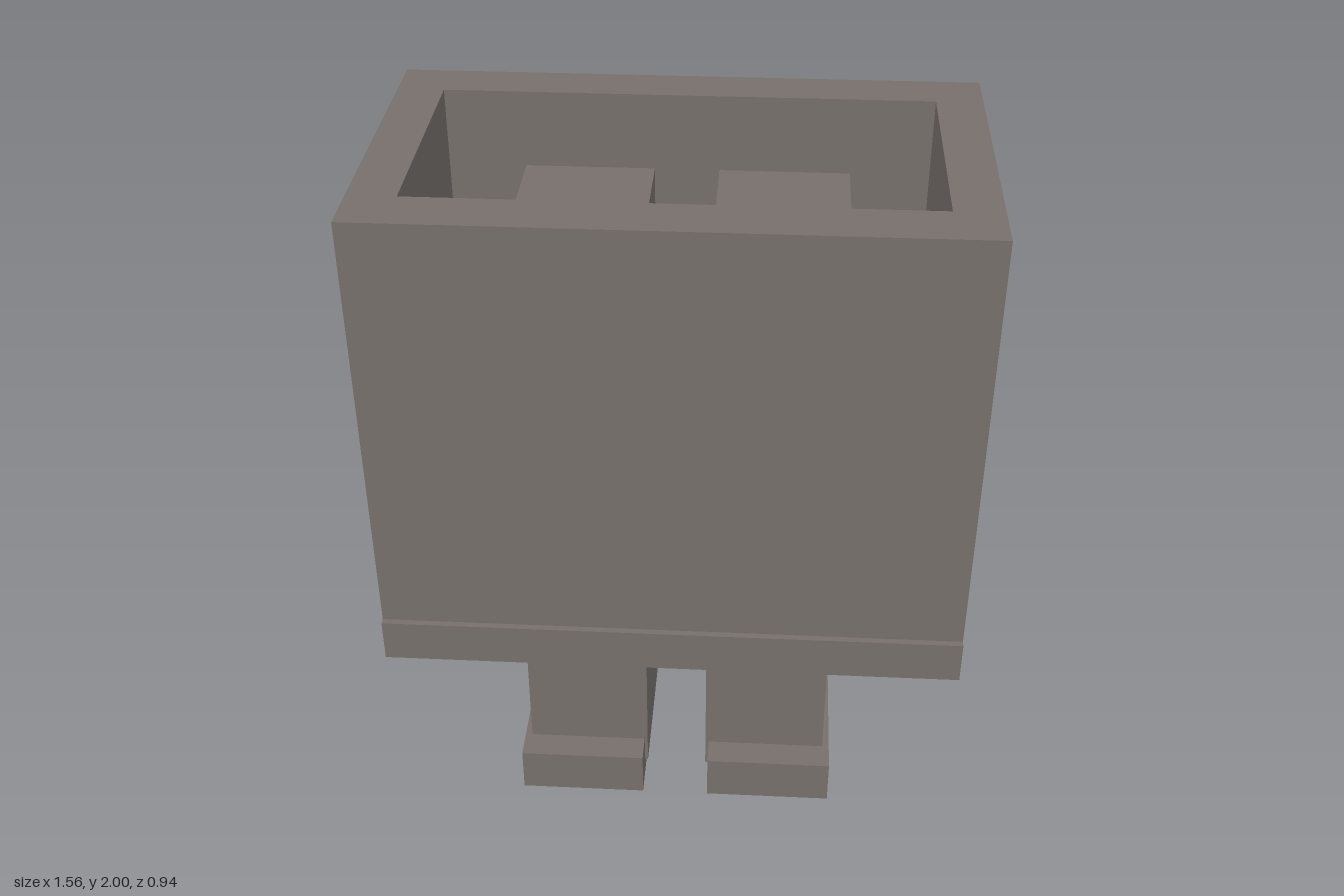
import * as THREE from 'three';

export function createModel() {
  const group = new THREE.Group();
  const stone = new THREE.MeshStandardMaterial({ color: 0x766f6b });
  stone.name = 'warm grey';

  const add = (name, geometry) => {
    const mesh = new THREE.Mesh(geometry, stone);
    mesh.name = name;
    group.add(mesh);
    return mesh;
  };

  // Box given by its lower and upper limits on each axis
  const block = (name, [x0, x1], [y0, y1], [z0, z1]) =>
    add(name, new THREE.BoxGeometry(x1 - x0, y1 - y0, z1 - z0))
      .position.set((x0 + x1) / 2, (y0 + y1) / 2, (z0 + z1) / 2);

  // Rectangle in plan; shape y is -z
  const rect = (Type, x, z0, z1) => new Type([
    new THREE.Vector2(-x, -z1), new THREE.Vector2(x, -z1),
    new THREE.Vector2(x, -z0), new THREE.Vector2(-x, -z0),
  ]);

  // Hollow body, open at top and bottom
  const plan = rect(THREE.Shape, 0.78, -0.47, 0.452);
  plan.holes.push(rect(THREE.Path, 0.655, -0.335, 0.31));
  const body = new THREE.ExtrudeGeometry(plan, { depth: 1.31, bevelEnabled: false });
  body.rotateX(-Math.PI / 2).translate(0, 0.69, 0);
  add('body', body);

  // Raised band along the lower front edge
  block('frontBand', [-0.78, 0.78], [0.69, 0.81], [0.452, 0.47]);

  // Legs reach up inside the body; feet stick out forward and outward
  for (const [side, legX, footX] of [
    ['left', [0.086, 0.44], [0.096, 0.46]],
    ['right', [-0.443, -0.09], [-0.463, -0.099]],
  ]) {
    block(side + 'Leg', legX, [0.05, 1.79], [-0.329, 0.172]);
    block(side + 'Foot', footX, [0, 0.136], [-0.302, 0.256]);
  }

  return group;
}
